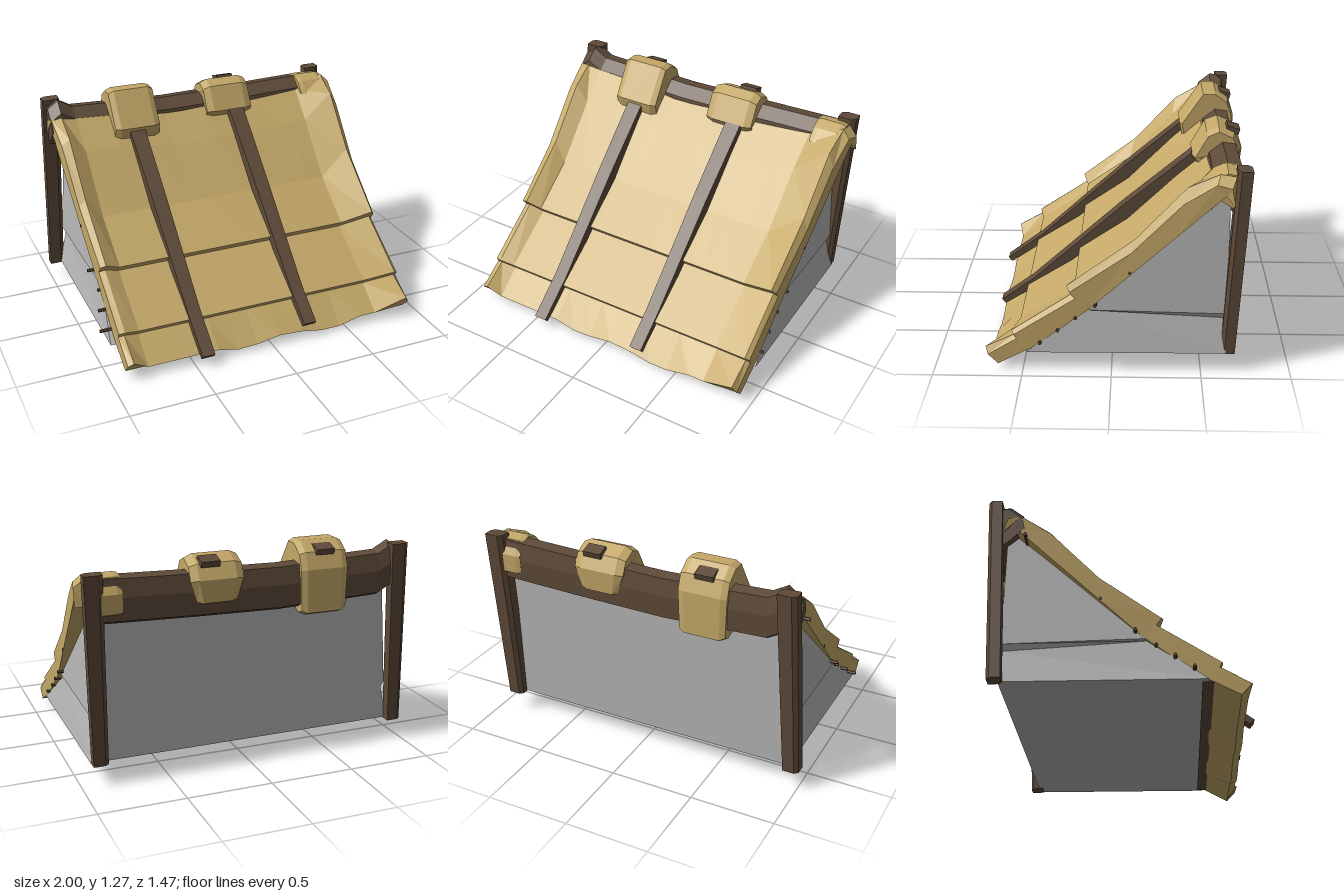
import * as THREE from 'three';

const mat = (name, color, flatShading = true) => {
  const m = new THREE.MeshStandardMaterial({ color, flatShading });
  m.name = name;
  return m;
};

// Joins rings of [x, y, z] points into a closed solid; rings need an even point count.
function loft(rings) {
  const tris = [];
  const n = rings[0].length;
  const quad = (a, b, c, d) => tris.push([a, b, c], [a, c, d]);
  for (let r = 0; r < rings.length - 1; r++) {
    for (let i = 0; i < n; i++) {
      const j = (i + 1) % n;
      quad(rings[r][i], rings[r][j], rings[r + 1][j], rings[r + 1][i]);
    }
  }
  const first = rings[0], last = rings[rings.length - 1];
  for (let i = 0; i < n / 2 - 1; i++) {
    const j = n - 1 - i;
    quad(first[j], first[j - 1], first[i + 1], first[i]);
    quad(last[i], last[i + 1], last[j - 1], last[j]);
  }
  // Turn the faces outward
  let volume = 0;
  const [a, b, c] = [0, 0, 0].map(() => new THREE.Vector3());
  for (const t of tris) volume += a.set(...t[0]).dot(b.set(...t[1]).cross(c.set(...t[2])));
  if (volume < 0) tris.forEach((t) => t.reverse());
  const geo = new THREE.BufferGeometry();
  geo.setAttribute('position', new THREE.Float32BufferAttribute(tris.flat(2), 3));
  geo.computeVertexNormals();
  return geo;
}

const lerp = THREE.MathUtils.lerp;

export function createModel() {
  const group = new THREE.Group();
  const thatch = mat('straw', 0xc4a868);
  const wood = mat('dark wood', 0x5e4a39);
  const stone = mat('grey wall', 0xb4b4b4);
  const add = (name, geo, material) => {
    const mesh = new THREE.Mesh(geo, material);
    mesh.name = name;
    group.add(mesh);
    return mesh;
  };

  // Wedge-shaped walls with a tapering ledge: back height, front height, half width, front z
  const levels = [[0.125, 0.12, 0.935, 0.475], [0.325, 0.37, 0.885, 0.165],
    [0.36, 0.375, 0.905, 0.16], [1.08, 1.08, 0.85, -0.6]];
  add('walls', loft(levels.map(([yb, yf, w, zf]) => [
    [-w, yb, -0.635], [w, yb, -0.635], [w, yf, zf], [-w, yf, zf],
  ])), stone);

  // Layered straw roof: [z, y] rows from ridge to eave, with raised side rims
  const middle = [[-0.59, 1.06], [-0.53, 1.09], [-0.36, 0.94], [-0.08, 0.665], [0.21, 0.465],
    [0.185, 0.43], [0.53, 0.21], [0.515, 0.185], [0.68, 0.06]];
  const rim = [[-0.655, 1.18], [-0.57, 1.19], [-0.4, 1.11], [-0.13, 0.81], [0.25, 0.52],
    [0.215, 0.475], [0.56, 0.24], [0.545, 0.215], [0.71, 0.135]];
  const under = [[-0.65, 1.03], [-0.6, 1.085], [-0.36, 0.855], [-0.1, 0.605], [0.13, 0.385],
    [0.135, 0.38], [0.43, 0.155], [0.435, 0.15], [0.64, 0.04]];
  // Stations: x at ridge, x at eave, rim amount at ridge, rim amount at eave, eave wave
  const stations = [
    [-0.955, -0.905, 0.5, 0.55, 0], [-0.885, -0.87, 0.75, 0.75, 0], [-0.79, -0.78, 0.65, 0, 0],
    [-0.57, -0.57, 0.5, 0, 0], [-0.35, -0.35, 0.2, 0, 0], [-0.22, -0.22, 0, 0, -0.03],
    [-0.1, -0.1, 0, 0, -0.025], [0.05, 0.05, 0.1, 0, 0], [0.2, 0.2, 0, 0, -0.01],
    [0.33, 0.33, 0, 0, -0.035], [0.45, 0.45, 0.1, 0, -0.035], [0.6, 0.6, 0.25, 0, 0],
    [0.74, 0.7, 0.4, 0, 0], [0.94, 0.9, 1, 1, 0], [0.995, 0.925, 0.6, 0.5, 0],
  ];
  add('thatchedRoof', loft(stations.map(([xRidge, xEave, eRidge, eEave, wave]) => {
    const last = middle.length - 1;
    const x = (k) => lerp(xRidge, xEave, Math.min(1, k / 4));
    const top = middle.map(([z, y], k) => {
      const e = lerp(eRidge, eEave, Math.min(1, k / 3));
      return [x(k), lerp(y, rim[k][1], e) + (k === last ? wave : 0), lerp(z, rim[k][0], e)];
    });
    const bottom = under.map(([z, y], k) => [x(k), y + (k === last ? wave : 0), z]);
    return [...top, ...bottom.reverse()];
  })), thatch);

  // Sagging ridge beam: x and height offset
  const beam = [[-0.53, 1.06], [-0.545, 1.13], [-0.62, 1.19], [-0.695, 1.18], [-0.712, 1.08],
    [-0.708, 0.95], [-0.67, 0.93], [-0.6, 0.99]];
  const sag = [[-0.945, 0], [-0.88, 0.05], [-0.79, 0], [-0.17, -0.025], [0.35, -0.015], [0.855, 0]];
  add('ridgeBeam', loft(sag.map(([x, dy]) => beam.map(([z, y]) => [x, y + dy, z]))), wood);

  // Leaning corner posts with chamfered corners: centre x at foot and top
  for (const [name, foot, head, top] of [['rightPost', -0.96, -0.91, 1.235], ['leftPost', 0.885, 0.91, 1.215]]) {
    const ring = (cx, y, cz, w, d) => [
      [-1, -0.5], [-0.5, -1], [1, -1], [1, 0.5], [0.5, 1], [-1, 1],
    ].map(([u, v]) => [cx + u * w, y, cz + v * d]);
    add(name, loft([ring(foot, 0.12, -0.648, 0.045, 0.039), ring(head, top, -0.698, 0.054, 0.04)]), wood);
  }

  // Straw bundles folded over the ridge, narrowed towards both ends and at the hanging back
  const bundle = (name, profile, x0, x1, inset, shrink, backWidth) => {
    const cz = -0.6, cy = 1.08, cx = (x0 + x1) / 2;
    const ring = (x, s) => profile.map(([z, y], i) => [
      i > 5 ? lerp(cx, x, backWidth) : x, cy + (y - cy) * s, cz + (z - cz) * s]);
    add(name, loft([ring(x0, shrink), ring(x0 + inset, 1), ring(x1 - inset, 1), ring(x1, shrink)]), thatch);
  };
  bundle('rightBundle', [[-0.42, 0.975], [-0.4, 1.07], [-0.54, 1.28], [-0.62, 1.28],
    [-0.7, 1.225], [-0.735, 1.13], [-0.737, 0.88], [-0.69, 0.86]], -0.575, -0.285, 0.035, 0.92, 0.95);
  bundle('leftBundle', [[-0.48, 1.035], [-0.45, 1.08], [-0.53, 1.225], [-0.6, 1.255],
    [-0.69, 1.215], [-0.733, 1.13], [-0.725, 1.0], [-0.68, 0.98]], 0.06, 0.37, 0.045, 0.88, 0.75);
  bundle('ridgeEndStraw', [[-0.48, 1.1], [-0.54, 1.17], [-0.61, 1.2], [-0.68, 1.185],
    [-0.722, 1.1], [-0.718, 0.99], [-0.68, 0.97], [-0.6, 1.1]], 0.75, 0.93, 0.03, 0.94, 1);

  // Long boards holding the straw down, and their tips showing above the bundles
  for (const [side, eave, ridge, endZ, ridgeZ, tipY] of [
    ['right', -0.43, -0.435, 0.735, -0.48, 1.235], ['left', 0.242, 0.255, 0.695, -0.45, 1.225]]) {
    const ring = (z, y, cx, w, t) => {
      const dz = t * 0.66, dy = t * 0.75;
      return [[cx - w, y, z], [cx + w, y, z], [cx + w, y - dy, z - dz], [cx - w, y - dy, z - dz]];
    };
    add(side + 'Board', loft([
      ring(endZ, 0.075 + 0.8 * (0.735 - endZ), eave, 0.039, 0.035), ring(0.5, 0.25, eave, 0.04, 0.05),
      ring(-0.06, 0.757, (eave + ridge) / 2, 0.045, 0.09), ring(ridgeZ, 0.747 - 0.87 * (ridgeZ + 0.06), ridge, 0.05, 0.05),
    ]), wood);
    const tip = add(side + 'BoardTip', new THREE.BoxGeometry(0.11, 0.035, 0.075), wood);
    tip.position.set(ridge, tipY, -0.682);
    tip.rotation.x = -0.3;
  }

  // Thin battens under the straw, their ends poking out at both sides
  for (const [z, y, x0, x1] of [[0.4, 0.18, -0.975, 0.945], [0.3, 0.257, -0.95, 0.935], [0.2, 0.335, -0.92, 0.935],
    [0.09, 0.415, -0.945, 0.94], [-0.1, 0.62, -0.92, 0.945], [-0.52, 1.01, -0.97, 0.96]]) {
    const rod = add('batten', new THREE.CylinderGeometry(0.01, 0.01, x1 - x0, 6), wood);
    rod.rotation.z = Math.PI / 2;
    rod.position.set((x0 + x1) / 2, y, z);
  }
  const sill = add('frontSill', new THREE.BoxGeometry(1.8, 0.025, 0.06), wood);
  sill.position.set(0, 0.125, 0.47);

  return group;
}
